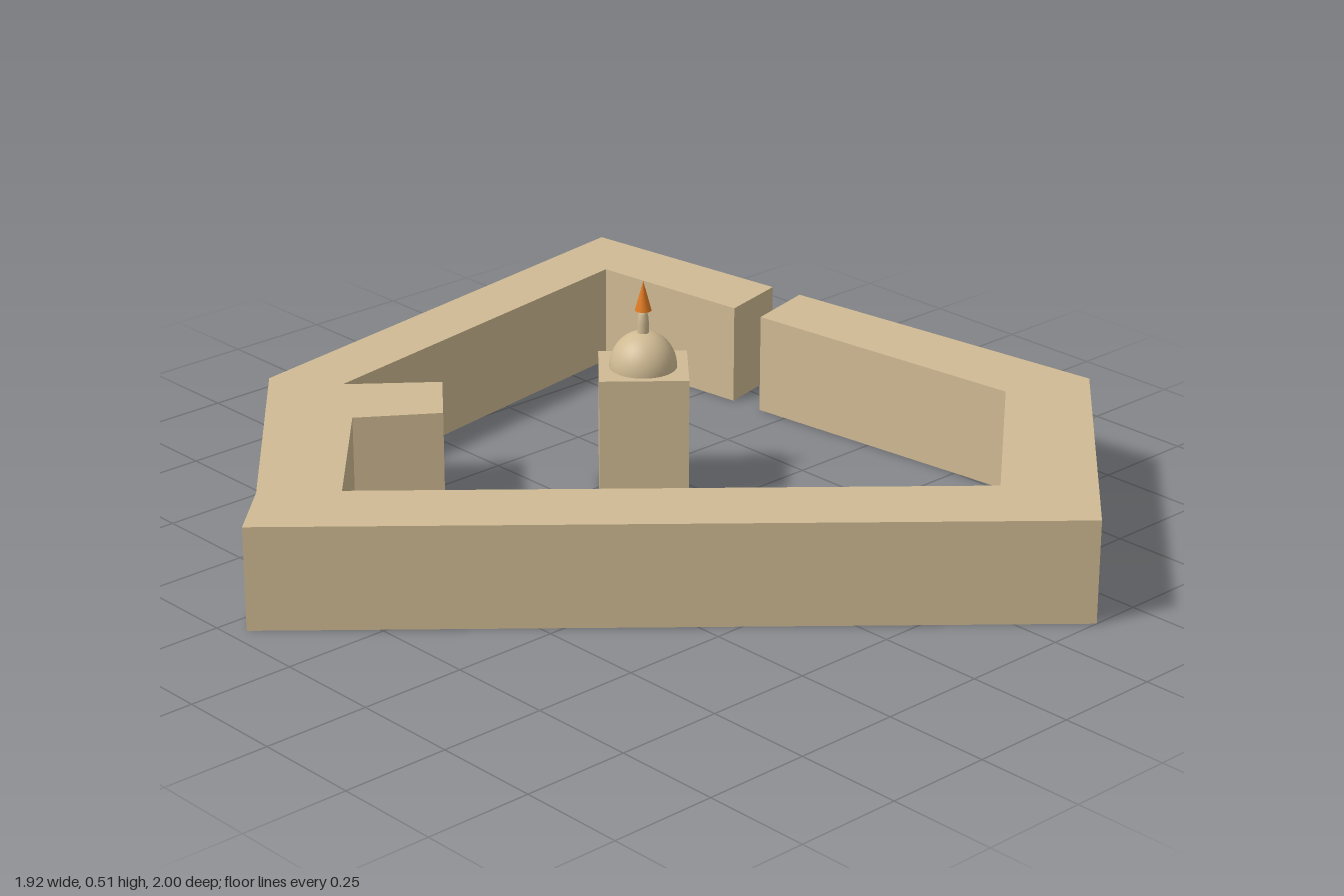
import * as THREE from 'three';

const stone = new THREE.MeshStandardMaterial({ color: 0xcfba93, side: THREE.DoubleSide });
stone.name = 'sandstone';
const orange = new THREE.MeshStandardMaterial({ color: 0xe07a20 });
orange.name = 'flame orange';

// Plan outline [x, z] raised from the ground to the given height, hollow and open below
function shell(name, points, height) {
  const shape = new THREE.Shape(points.map(([x, z]) => new THREE.Vector2(x, -z)));
  const solid = new THREE.ExtrudeGeometry(shape, { depth: height, bevelEnabled: false });
  solid.rotateX(-Math.PI / 2);
  // The bottom cap comes first: n - 2 triangles of nine numbers each
  const capSize = (points.length - 2) * 9;
  const geometry = new THREE.BufferGeometry();
  for (const key of ['position', 'normal']) {
    const values = solid.getAttribute(key).array.slice(capSize);
    geometry.setAttribute(key, new THREE.BufferAttribute(values, 3));
  }
  const mesh = new THREE.Mesh(geometry, stone);
  mesh.name = name;
  return mesh;
}

export function createModel() {
  const model = new THREE.Group();
  model.name = 'walledShrine';

  // Perimeter wall with a gate gap on the left and an inner buttress
  const wall = [
    [0.846, -0.453], [0.779, -1], [-0.415, -0.816], [-0.832, -0.318], [-0.962, -0.196],
    [0.382, 1], [0.962, 0.461], [0.857, -0.372], [0.683, -0.329], [0.763, 0.384],
    [0.361, 0.733], [-0.691, -0.202], [-0.422, -0.503], [-0.255, -0.387], [-0.138, -0.53],
    [-0.314, -0.673], [0.631, -0.821], [0.677, -0.413],
  ];
  model.add(shell('perimeterWall', wall, 0.24));

  // Central shrine block
  const block = [[0.133, -0.298], [0.284, -0.163], [0.162, -0.026], [0.01, -0.159]];
  model.add(shell('shrineBlock', block, 0.31));

  const top = new THREE.Group();
  top.name = 'shrineTop';
  top.position.set(0.147, 0.31, -0.162);
  model.add(top);

  const add = (name, geometry, material, y) => {
    const mesh = new THREE.Mesh(geometry, material);
    mesh.name = name;
    mesh.position.y = y;
    top.add(mesh);
  };

  // Dome, neck and flame-shaped finial
  const dome = new THREE.SphereGeometry(0.077, 32, 16, 0, Math.PI * 2, 0, Math.PI / 2);
  add('dome', dome.scale(1, 1.08, 1), stone, 0);
  const neck = [[0.013, 0.07], [0.013, 0.105], [0.011, 0.125], [0.006, 0.138], [0, 0.14]];
  add('neck', new THREE.LatheGeometry(neck.map(([r, y]) => new THREE.Vector2(r, y)), 16), stone, 0);
  add('finial', new THREE.ConeGeometry(0.019, 0.07, 12), orange, 0.17);

  return model;
}
